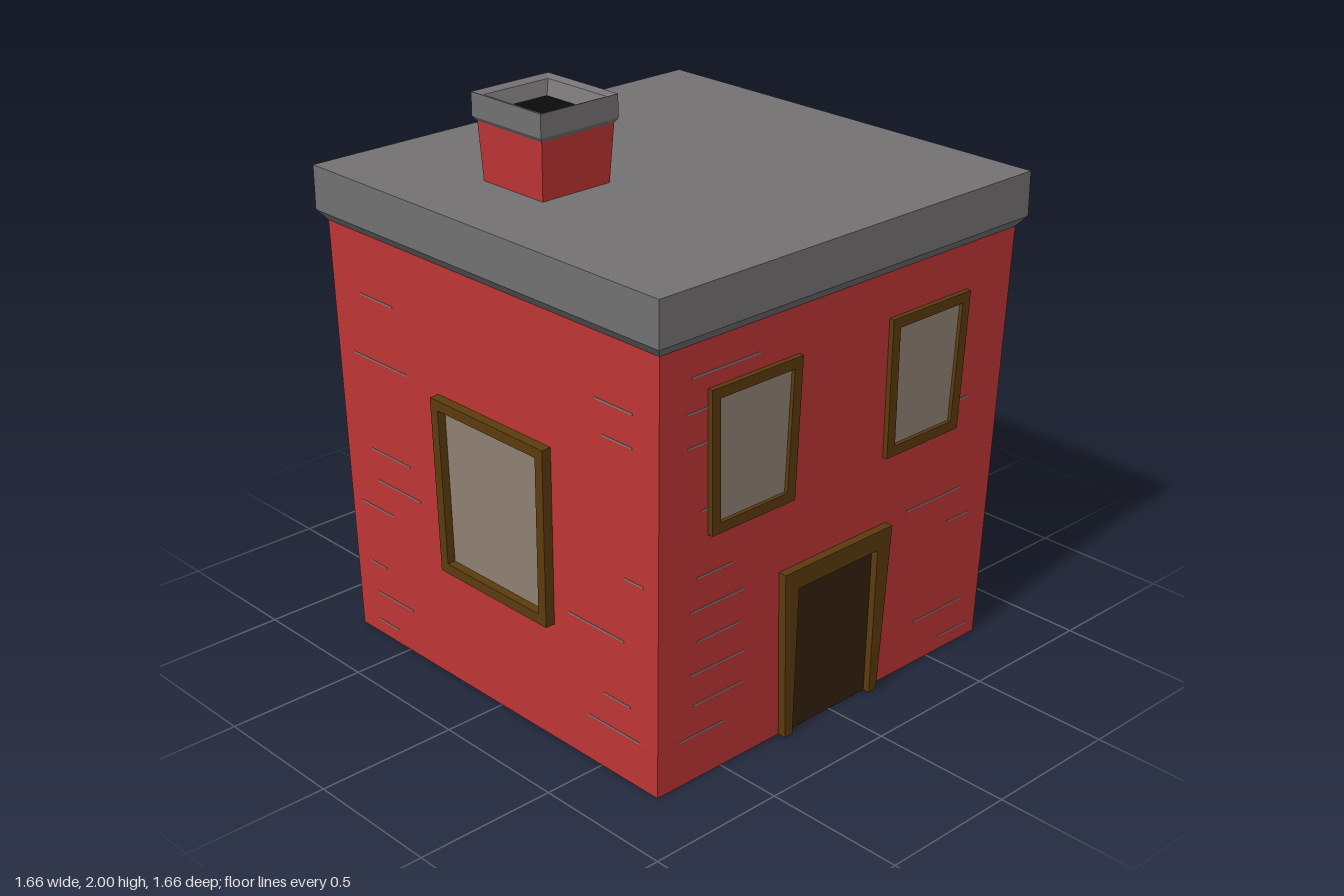
import * as THREE from 'three';

const mat = (name, color, side = THREE.FrontSide) => {
  const m = new THREE.MeshStandardMaterial({ color, side, flatShading: true });
  m.name = name;
  return m;
};

// Rectangular loft: rings of [x0, x1, z0, z1, y], optionally capped at the end
function loft(rings, capEnd = false) {
  const pos = [];
  const corners = rings.map(([x0, x1, z0, z1, y]) =>
    [[x0, y, z1], [x1, y, z1], [x1, y, z0], [x0, y, z0]]);
  const quad = (a, b, c, d) => pos.push(...a, ...b, ...c, ...a, ...c, ...d);
  for (let r = 0; r < corners.length - 1; r++) {
    for (let i = 0; i < 4; i++) {
      const j = (i + 1) % 4;
      quad(corners[r][i], corners[r][j], corners[r + 1][j], corners[r + 1][i]);
    }
  }
  if (capEnd) quad(...corners[corners.length - 1]);
  const g = new THREE.BufferGeometry();
  g.setAttribute('position', new THREE.Float32BufferAttribute(pos, 3));
  g.computeVertexNormals();
  return g;
}

const poly = (pts) => new THREE.Shape(pts.map(([x, y]) => new THREE.Vector2(x, y)));

// Extruded outline reaching from z0 to z1
function slab(shape, z0, z1) {
  const g = new THREE.ExtrudeGeometry(shape, { depth: z1 - z0, bevelEnabled: false });
  return g.translate(0, 0, z0);
}

export function createModel() {
  const house = new THREE.Group();
  house.name = 'house';

  const brick = mat('brick red', 0xbf3535, THREE.DoubleSide);
  const stone = mat('roof grey', 0x737172, THREE.DoubleSide);
  const glass = mat('window glass', 0x908275);
  const wood = mat('frame brown', 0x5c3b0e);
  const doorWood = mat('door brown', 0x35220f);
  const soot = mat('flue black', 0x0b0b0b);
  const mortar = mat('mortar grey', 0x857f7c);

  const add = (parent, name, geometry, material) => {
    const m = new THREE.Mesh(geometry, material);
    m.name = name;
    parent.add(m);
    return m;
  };

  // Walls lean outwards and are open underneath
  add(house, 'walls', loft([
    [-0.775, 0.752, -0.767, 0.76, 0],
    [-0.8, 0.8, -0.8, 0.8, 1.52],
  ]), brick);

  // Flat roof slab with a chamfered lower edge
  add(house, 'roof', loft([
    [-0.8, 0.8, -0.8, 0.8, 1.515],
    [-0.828, 0.828, -0.828, 0.828, 1.55],
    [-0.828, 0.828, -0.828, 0.828, 1.705],
  ], true), stone);

  // Chimney stack, hollow cap and dark flue
  add(house, 'chimneyStack', loft([
    [-0.525, -0.245, -0.315, -0.025, 1.7],
    [-0.535, -0.233, -0.328, -0.012, 1.915],
  ]), brick);
  add(house, 'chimneyCap', loft([
    [-0.535, -0.233, -0.328, -0.012, 1.905],
    [-0.546, -0.225, -0.34, -0.002, 1.92],
    [-0.546, -0.225, -0.34, -0.002, 2],
    [-0.517, -0.25, -0.312, -0.03, 1.99],
    [-0.494, -0.275, -0.29, -0.058, 1.94],
  ]), stone);
  const flue = add(house, 'flue', new THREE.PlaneGeometry(0.235, 0.25), soot);
  flue.rotation.x = -Math.PI / 2;
  flue.position.set(-0.385, 1.942, -0.174);

  // One group per wall: local z points outwards, local y runs up the slope
  const wallGroup = (name, x, z, turn, lean) => {
    const g = new THREE.Group();
    g.name = name;
    g.position.set(x, 0, z);
    g.rotation.set(Math.atan(lean / 1.52), turn, 0, 'YXZ');
    house.add(g);
    return g;
  };
  const front = wallGroup('frontWallDetails', 0, 0.76, 0, 0.04);
  const back = wallGroup('backWallDetails', 0, -0.767, Math.PI, 0.033);
  const left = wallGroup('leftWallDetails', 0.752, 0, Math.PI / 2, 0.048);
  const right = wallGroup('rightWallDetails', -0.775, 0, -Math.PI / 2, 0.025);

  // Window: tapered frame with a recessed pane; b = bottom x pair, t = top x pair
  function addWindow(wall, name, b, t, y0, y1, out) {
    const w = new THREE.Group();
    w.name = name;
    wall.add(w);
    const f = 0.036;
    const inner = [[b[0] + f, y0 + f], [b[1] - f, y0 + f], [t[1] - f, y1 - f], [t[0] + f, y1 - f]];
    const frame = poly([[b[0], y0], [b[1], y0], [t[1], y1], [t[0], y1]]);
    frame.holes.push(poly(inner));
    add(w, name + 'Frame', slab(frame, -0.012, out), wood);
    add(w, name + 'Pane', slab(poly(inner), -0.004, 0.005), glass);
  }
  addWindow(front, 'frontRightWindow', [-0.585, -0.225], [-0.602, -0.215], 0.865, 1.355, 0.018);
  addWindow(front, 'frontLeftWindow', [0.203, 0.552], [0.195, 0.57], 0.865, 1.355, 0.018);
  addWindow(left, 'leftWindow', [-0.29, 0.243], [-0.302, 0.252], 0.43, 1.058, 0.027);
  addWindow(right, 'rightWindow', [-0.243, 0.29], [-0.252, 0.302], 0.43, 1.058, 0.035);

  // Door: flared frame around a dark panel
  const doorFrame = poly([
    [-0.235, 0], [-0.2, 0], [-0.2, 0.545], [0.172, 0.545],
    [0.172, 0], [0.207, 0], [0.238, 0.615], [-0.265, 0.615],
  ]);
  add(front, 'doorFrame', slab(doorFrame, -0.012, 0.03), wood);
  add(front, 'door', slab(poly([[-0.2, 0], [0.172, 0], [0.172, 0.545], [-0.2, 0.545]]), -0.004, 0.005), doorWood);

  // Broken mortar lines between the brick courses
  let seed = 7;
  const rand = () => (seed = (seed * 16807) % 2147483647) / 2147483647;
  for (const wall of [front, back, left, right]) {
    for (let row = 0; row < 13; row++) {
      for (const half of [-1, 1]) {
        if (rand() < 0.35) continue;
        const length = 0.08 + 0.22 * rand();
        const x = half * (0.73 - length / 2 - 0.12 * rand());
        const dash = add(wall, 'mortarLine', new THREE.BoxGeometry(length, 0.006, 0.003), mortar);
        dash.position.set(x, 0.052 + row * 0.113, 0);
      }
    }
  }
  return house;
}
